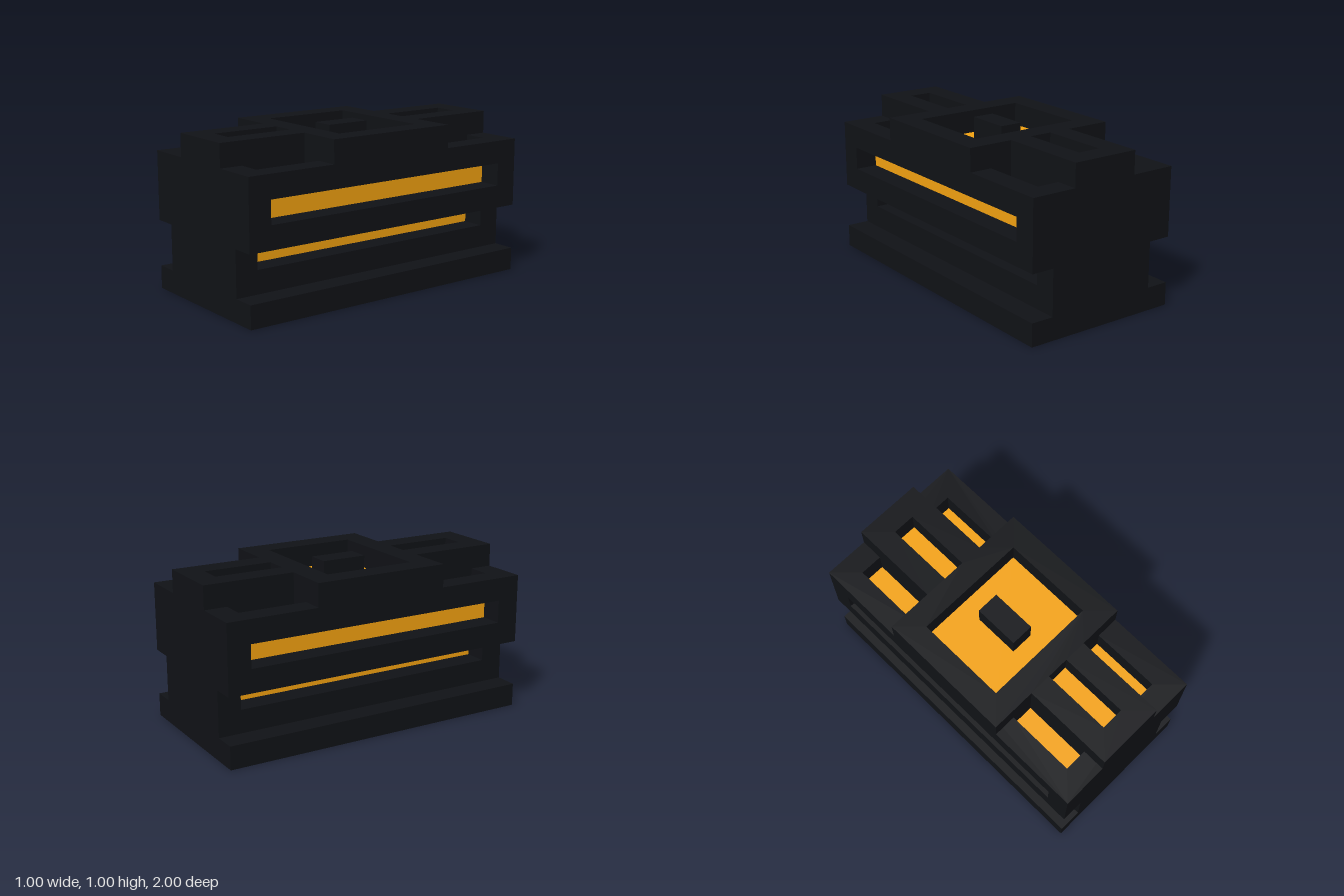
import * as THREE from 'three';

const U = 1 / 7; // one block unit
const dark = new THREE.MeshStandardMaterial({ color: 0x101216 });
const amber = new THREE.MeshStandardMaterial({ color: 0xf5a311 });

// Corner list of a rectangle in plan (x, z)
const rect = (x0, x1, z0, z1) => [[x0, z0], [x1, z0], [x1, z1], [x0, z1]];

// Complete a quarter outline (+x, +z corners, from the side to the end) by mirroring
function mirrored(quarter) {
  const half = [...quarter, ...quarter.map(([x, z]) => [-x, z]).reverse()];
  return [...half, ...half.map(([x, z]) => [x, -z]).reverse()];
}

const toPoints = (list) => list.map(([x, z]) => new THREE.Vector2(x, z));

export function createModel() {
  const model = new THREE.Group();
  model.name = 'blockModule';

  // Horizontal slab with vertical walls and optional openings
  function slab(name, y0, y1, outline, holes = []) {
    const shape = new THREE.Shape(toPoints(outline));
    for (const h of holes) shape.holes.push(new THREE.Path(toPoints(h)));
    const geo = new THREE.ExtrudeGeometry(shape, { depth: y1 - y0, bevelEnabled: false });
    geo.rotateX(-Math.PI / 2).translate(0, y0, 0).scale(U, U, U);
    const mesh = new THREE.Mesh(geo, dark);
    mesh.name = name;
    model.add(mesh);
  }

  function box(name, w, h, d, x, y, z, material) {
    const mesh = new THREE.Mesh(new THREE.BoxGeometry(w * U, h * U, d * U), material);
    mesh.position.set(x * U, y * U, z * U);
    mesh.name = name;
    model.add(mesh);
  }

  // Openings cut down from the top
  const ledgeSlots = [];
  const endSlots = [];
  for (const s of [-1, 1]) {
    const [z0, z1] = s > 0 ? [3, 6] : [-6, -3];
    endSlots.push(rect(-0.5, 0.5, z0, z1));
    ledgeSlots.push(rect(1.5, 2.5, z0, z1), rect(-2.5, -1.5, z0, z1));
  }
  const full = rect(-3.5, 3.5, -7, 7);

  // Body, from the base upwards
  slab('base', 0, 1, full);
  slab('waist', 1, 2, rect(-2.5, 2.5, -7, 7));
  slab('lowerSlotLayer', 2, 3, mirrored([[1.5, 6], [2.5, 6], [2.5, 7]]));
  slab('middleRail', 3, 4, full);
  slab('upperSlotLayer', 4, 5, mirrored([[2.5, 6], [3.5, 6], [3.5, 7]]));
  slab('ledgeLayer', 5, 6, full, ledgeSlots);
  slab('topFrame', 6, 7, mirrored([[3.5, 3], [1.5, 3], [1.5, 7]]),
    [rect(-2.5, 2.5, -2, 2), ...endSlots]);
  box('centreIsland', 1, 1, 2, 0, 6.5, 0, dark);

  // Amber inlays lining the bottom of each recess
  const t = 0.02;
  box('centreInlay', 5, t, 4, 0, 6, 0, amber);
  for (const s of [-1, 1]) {
    box('endSlotInlay', 1, t, 3, 0, 6, 4.5 * s, amber);
    for (const x of [-2, 2]) box('ledgeSlotInlay', 1, t, 3, x, 5, 4.5 * s, amber);
    box('upperSideInlay', t, 1, 12, 2.5 * s, 4.5, 0, amber);
    box('lowerSideInlay', t, 1, 12, 1.5 * s, 2.5, 0, amber);
  }
  return model;
}
